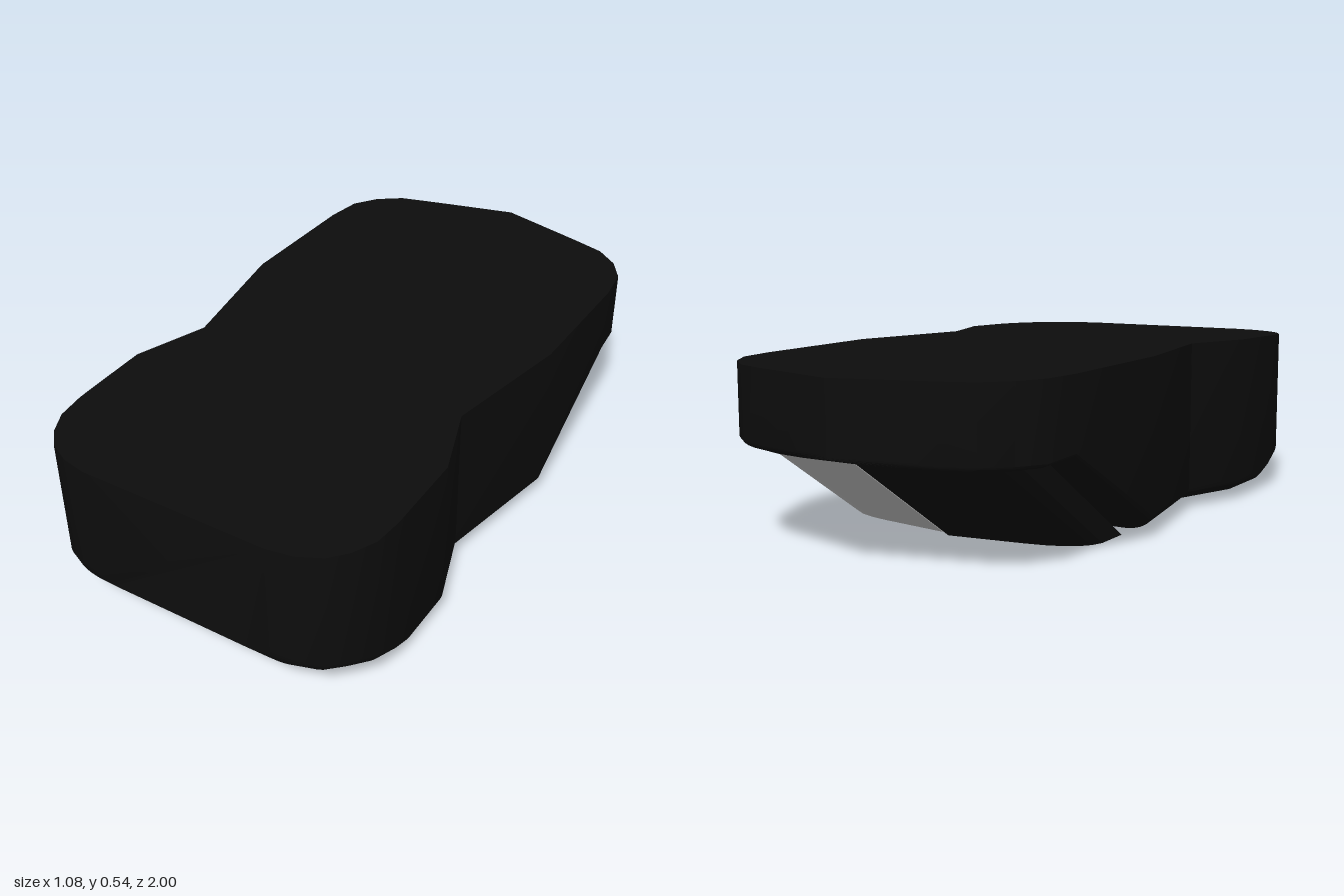
import * as THREE from 'three';
import { toCreasedNormals } from 'three/addons/utils/BufferGeometryUtils.js';

const black = new THREE.MeshStandardMaterial({ color: 0x0d0d0d });
black.name = 'black';
const lightGrey = new THREE.MeshStandardMaterial({ color: 0xc4c4c4 });
lightGrey.name = 'lightGrey';

// Body stations from front to back: z, half width, top, underside, height of the rounded lower edge
const stations = [
  [1, 0.3, 0.53, 0.14, 0.03], [0.985, 0.38, 0.53, 0.122, 0.035], [0.95, 0.45, 0.53, 0.108, 0.04],
  [0.9, 0.495, 0.531, 0.1, 0.045], [0.83, 0.53, 0.532, 0.076, 0.05], [0.74, 0.54, 0.535, 0.044, 0.05],
  [0.67, 0.54, 0.537, 0.02, 0.05], [0.48, 0.54, 0.54, 0.02, 0.05], [0.25, 0.46, 0.54, 0.02, 0.05],
  [-0.18, 0.54, 0.54, 0.02, 0.05], [-0.63, 0.54, 0.533, 0.3, 0.02], [-0.75, 0.525, 0.531, 0.29, 0.02],
  [-0.83, 0.475, 0.529, 0.29, 0.02], [-0.89, 0.4, 0.527, 0.29, 0.02], [-0.92, 0.3, 0.526, 0.29, 0.02],
  [-0.94, 0.225, 0.526, 0.293, 0.02], [-1, 0, 0.525, 0.31, 0.01],
];

// Half a cross-section with a rounded lower edge, mirrored into a full ring
function ring([z, w, top, under, round]) {
  const inset = Math.min(0.09, w);
  const half = [[w, top]];
  for (let k = 0; k <= 5; k++) {
    const a = (k / 5) * Math.PI / 2;
    half.push([w - inset * (1 - Math.cos(a)), under + round * (1 - Math.sin(a))]);
  }
  const other = half.map(([x, y]) => [-x, y]).reverse();
  return [...half, ...other].map(([x, y]) => [x, y, z]);
}

function bodyGeometry() {
  const rings = stations.map(ring);
  const n = rings[0].length;
  const index = [];
  for (let j = 0; j < rings.length - 1; j++) {
    for (let i = 0; i < n; i++) {
      const a = j * n + i, b = j * n + (i + 1) % n;
      index.push(a, b, a + n, b, b + n, a + n);
    }
  }
  // flat front face
  for (let i = 1; i < n - 1; i++) index.push(0, i + 1, i);
  const g = new THREE.BufferGeometry();
  g.setAttribute('position', new THREE.Float32BufferAttribute(rings.flat(2), 3));
  g.setIndex(index);
  return toCreasedNormals(g, 0.45);
}

// Prism that rises from the ground and leans back along the rear slope
function leaningPrism(shape, base, top) {
  const g = new THREE.ExtrudeGeometry(shape, { depth: top - base, bevelEnabled: false, curveSegments: 5 });
  g.rotateX(-Math.PI / 2);
  const p = g.attributes.position;
  for (let i = 0; i < p.count; i++) p.setZ(i, p.getZ(i) - p.getY(i) * 1.5);
  g.translate(0, base, 0);
  return toCreasedNormals(g, 0.5);
}

// Footprint of one half of the rear block, drawn as x against -z
function blockShape(side) {
  const s = new THREE.Shape();
  s.moveTo(side * 0.01, 0.19);
  s.lineTo(side * 0.445, 0.19);
  s.lineTo(side * 0.445, 0.31);
  s.quadraticCurveTo(side * 0.43, 0.41, side * 0.25, 0.435);
  s.lineTo(side * 0.01, 0.47);
  s.closePath();
  return s;
}

export function createModel() {
  const model = new THREE.Group();
  const add = (name, geometry, material) => {
    const mesh = new THREE.Mesh(geometry, material);
    mesh.name = name;
    model.add(mesh);
  };
  add('body', bodyGeometry(), black);
  add('leftRearBlock', leaningPrism(blockShape(1), 0.008, 0.292), lightGrey);
  add('rightRearBlock', leaningPrism(blockShape(-1), 0, 0.292), black);

  // Dark strip along the straight side of the grey block
  const strip = new THREE.Shape();
  strip.moveTo(0.444, 0.188);
  strip.lineTo(0.45, 0.188);
  strip.lineTo(0.45, 0.315);
  strip.lineTo(0.444, 0.315);
  strip.closePath();
  add('blockSideStrip', leaningPrism(strip, 0.008, 0.292), black);
  return model;
}
